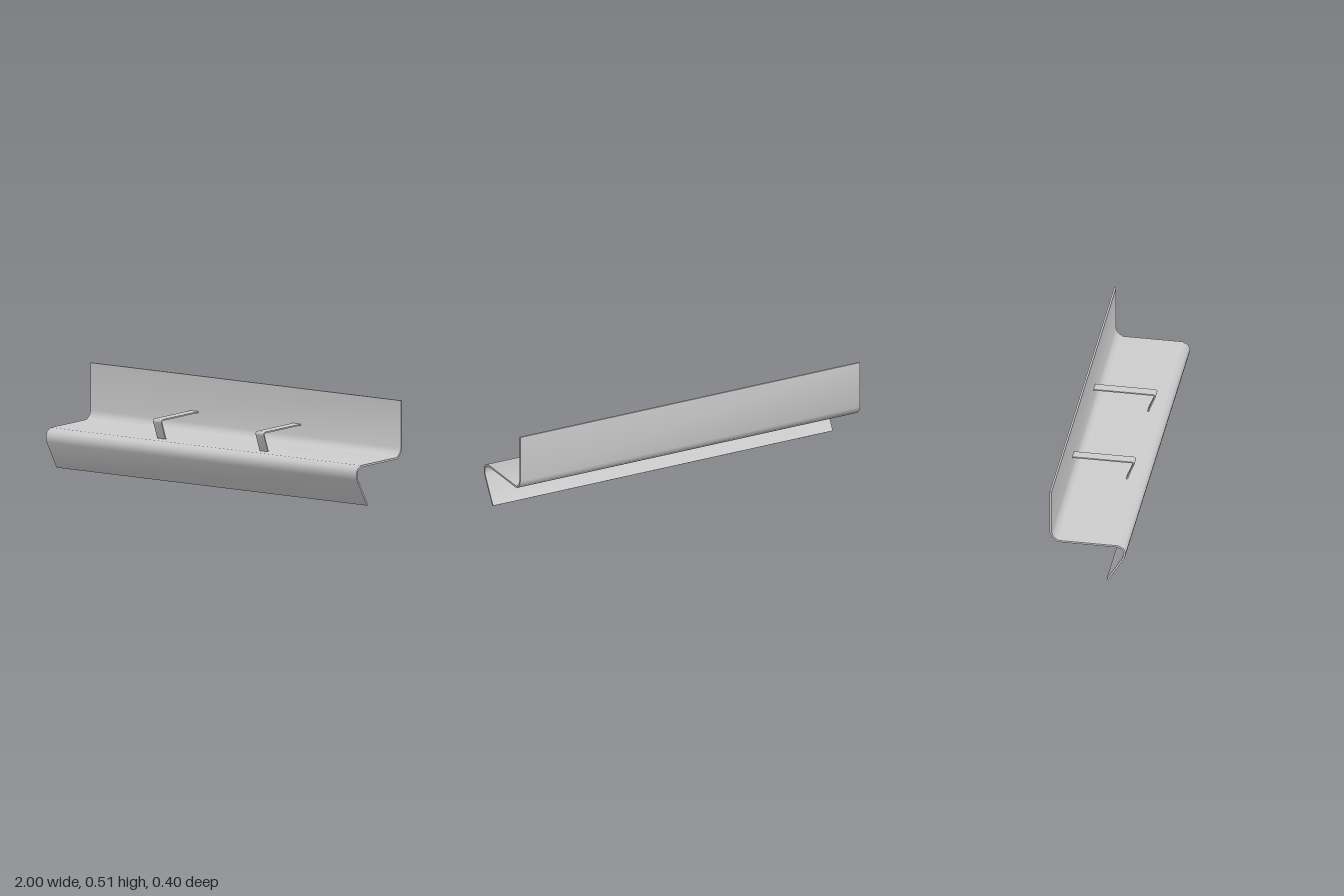
import * as THREE from 'three';
import { toCreasedNormals } from 'three/addons/utils/BufferGeometryUtils.js';

const material = new THREE.MeshStandardMaterial({ color: 0xcccccc });

// Bent sheet: thickens a (z, y) centre line with mitred corners and extrudes it along x.
function bentSheet(name, points, thickness, width) {
  const pts = points.map(([z, y]) => new THREE.Vector2(z, y));
  const sides = [[], []];
  pts.forEach((p, i) => {
    const before = pts[Math.max(i - 1, 0)];
    const after = pts[Math.min(i + 1, pts.length - 1)];
    const a = (i > 0 ? p.clone().sub(before) : after.clone().sub(p)).normalize();
    const b = (i < pts.length - 1 ? after.clone().sub(p) : a.clone()).normalize();
    const dir = a.clone().add(b).normalize();
    const offset = new THREE.Vector2(-dir.y, dir.x).multiplyScalar(thickness / 2 / dir.dot(a));
    sides[0].push(p.clone().add(offset));
    sides[1].unshift(p.clone().sub(offset));
  });
  const geometry = new THREE.ExtrudeGeometry(new THREE.Shape([...sides[0], ...sides[1]]), {
    depth: width, bevelEnabled: false, steps: 1,
  });
  geometry.translate(0, 0, -width / 2).rotateY(-Math.PI / 2);
  const mesh = new THREE.Mesh(toCreasedNormals(geometry, 0.85), material);
  mesh.name = name;
  return mesh;
}

export function createModel() {
  const group = new THREE.Group();
  group.name = 'bench';

  // One continuous sheet: front apron, rounded front edge, seat and backrest
  group.add(bentSheet('seatAndBack', [
    [0.1025, 0.003], [0.189, 0.147], [0.195, 0.176], [0.186, 0.199], [0.158, 0.2135],
    [-0.147, 0.2135], [-0.16, 0.2155], [-0.185, 0.236], [-0.195, 0.2625], [-0.195, 0.512],
  ], 0.01, 2));

  // Two strap armrests between backrest and seat
  for (const side of [1, -1]) {
    const armrest = bentSheet(side > 0 ? 'leftArmrest' : 'rightArmrest', [
      [-0.192, 0.3215], [0.125, 0.3215], [0.1305, 0.319], [0.133, 0.3145], [0.1315, 0.308], [0.0955, 0.217],
    ], 0.007, 0.053);
    armrest.position.x = side * 0.33;
    group.add(armrest);
  }
  return group;
}
